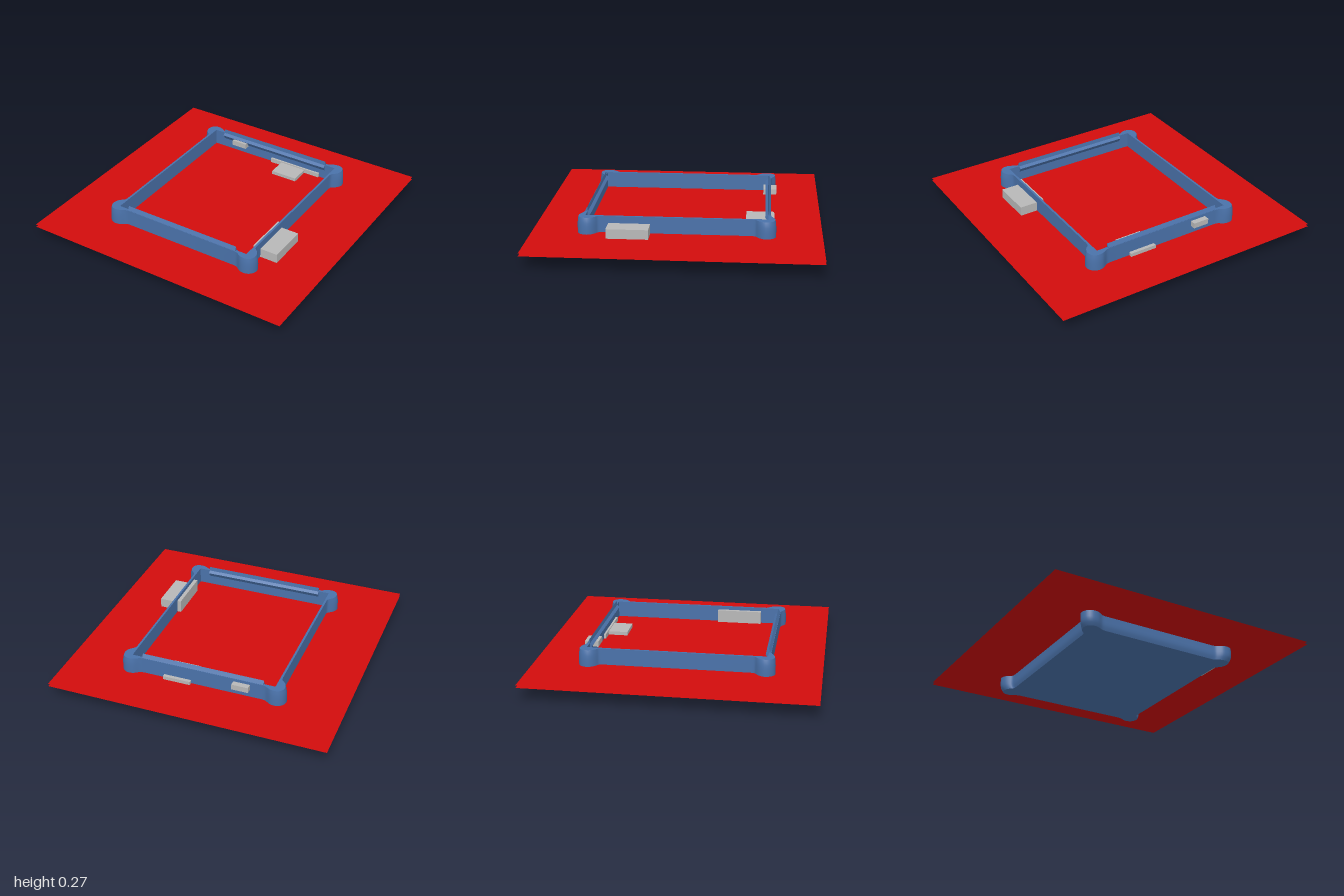
import * as THREE from 'three';
import { toCreasedNormals } from 'three/addons/utils/BufferGeometryUtils.js';

export function createModel() {
  const model = new THREE.Group();
  const mat = (name, color, side = THREE.FrontSide) => {
    const m = new THREE.MeshStandardMaterial({ color, side });
    m.name = name;
    return m;
  };
  const blue = mat('caseBlue', 0x4a72aa);
  const grey = mat('portGrey', 0xb8b8b8);
  const red = mat('planeRed', 0xd20c0c, THREE.DoubleSide);

  const add = (name, geometry, material) => {
    const mesh = new THREE.Mesh(geometry, material);
    mesh.name = name;
    model.add(mesh);
    return mesh;
  };
  // Box given by its limits on each axis
  const box = (name, [x0, x1], [y0, y1], [z0, z1], material) =>
    add(name, new THREE.BoxGeometry(x1 - x0, y1 - y0, z1 - z0), material)
      .position.set((x0 + x1) / 2, (y0 + y1) / 2, (z0 + z1) / 2);

  // Case outline: one bumper corner, mirrored to all four quadrants
  const WX = 0.54, WZ = 0.645, IX = 0.525, IZ = 0.627, H = 0.24;
  const corner = new THREE.CatmullRomCurve3([
    [0.54, 0.51], [0.545, 0.54], [0.565, 0.555], [0.589, 0.578], [0.602, 0.612], [0.592, 0.65],
    [0.567, 0.674], [0.535, 0.682], [0.505, 0.677], [0.48, 0.661], [0.46, 0.649], [0.435, 0.645],
  ].map(([x, z]) => new THREE.Vector3(x, z, 0))).getPoints(28);
  const outline = [];
  for (const [sx, sz] of [[1, 1], [-1, 1], [-1, -1], [1, -1]]) {
    const pts = corner.map(p => new THREE.Vector2(p.x * sx, p.y * sz));
    outline.push(...(sx * sz > 0 ? pts : pts.reverse()));
  }
  const shape = new THREE.Shape(outline);
  shape.holes.push(new THREE.Path([[-IX, -IZ], [-IX, IZ], [IX, IZ], [IX, -IZ]]
    .map(([x, z]) => new THREE.Vector2(x, z))));
  const walls = new THREE.ExtrudeGeometry(shape, { depth: H, steps: 12, bevelEnabled: false });
  walls.rotateX(-Math.PI / 2);

  // Barrel the corners and tuck in the bottom edge, leaving the inside straight
  const pos = walls.attributes.position;
  const ease = (v, limit, k) => {
    const a = Math.abs(v);
    return a > limit ? Math.sign(v) * (limit + (a - limit) * k) : v;
  };
  for (let i = 0; i < pos.count; i++) {
    const x = pos.getX(i), y = pos.getY(i), z = pos.getZ(i);
    if (Math.abs(x) < IX + 0.001 && Math.abs(z) < IZ + 0.001) continue;
    const k = 1 - 0.2 * Math.pow(Math.abs(y / H - 0.5) * 2, 4);
    const tuck = y < 0.03 ? 1 - 0.015 * (1 - y / 0.03) : 1;
    pos.setX(i, ease(x, WX, k) * tuck);
    pos.setZ(i, ease(z, WZ, k) * tuck);
  }
  add('caseWalls', toCreasedNormals(walls, 0.6), blue);
  box('caseFloor', [-IX, IX], [0, 0.025], [-IZ, IZ], blue);

  // Snap rails along the front and back walls
  const profile = new THREE.Shape([[0.643, 0.23], [0.643, 0.242], [0.628, 0.27], [0.624, 0.24],
    [0.605, 0.225], [0.628, 0.19]].map(([z, y]) => new THREE.Vector2(z, y)));
  for (const side of [1, -1]) {
    const rail = new THREE.ExtrudeGeometry(profile, { depth: 0.89, bevelEnabled: false });
    rail.translate(0, 0, -0.445);
    rail.rotateY(-side * Math.PI / 2);
    add(side > 0 ? 'frontRail' : 'backRail', rail, blue);
  }

  // Connector bodies passing through the walls
  box('sidePort', [0.5, 0.67], [0.1, 0.19], [0.18, 0.47], grey);
  box('sidePortFlange', [0.497, 0.53], [0.08, 0.215], [0.16, 0.49], grey);
  box('cardPort', [0.08, 0.28], [0.1, 0.148], [-0.67, -0.47], grey);
  box('cardPortFlange', [-0.015, 0.4], [0.09, 0.155], [-0.635, -0.612], grey);
  box('smallPort', [-0.35, -0.23], [0.18, 0.22], [-0.685, -0.588], grey);

  // Two parallel square sheets through the middle of the case
  [0.103, 0.122].forEach((y, i) => {
    const sheet = add(i ? 'upperSheet' : 'lowerSheet', new THREE.PlaneGeometry(2, 2), red);
    sheet.rotation.x = -Math.PI / 2;
    sheet.position.y = y;
  });
  return model;
}
